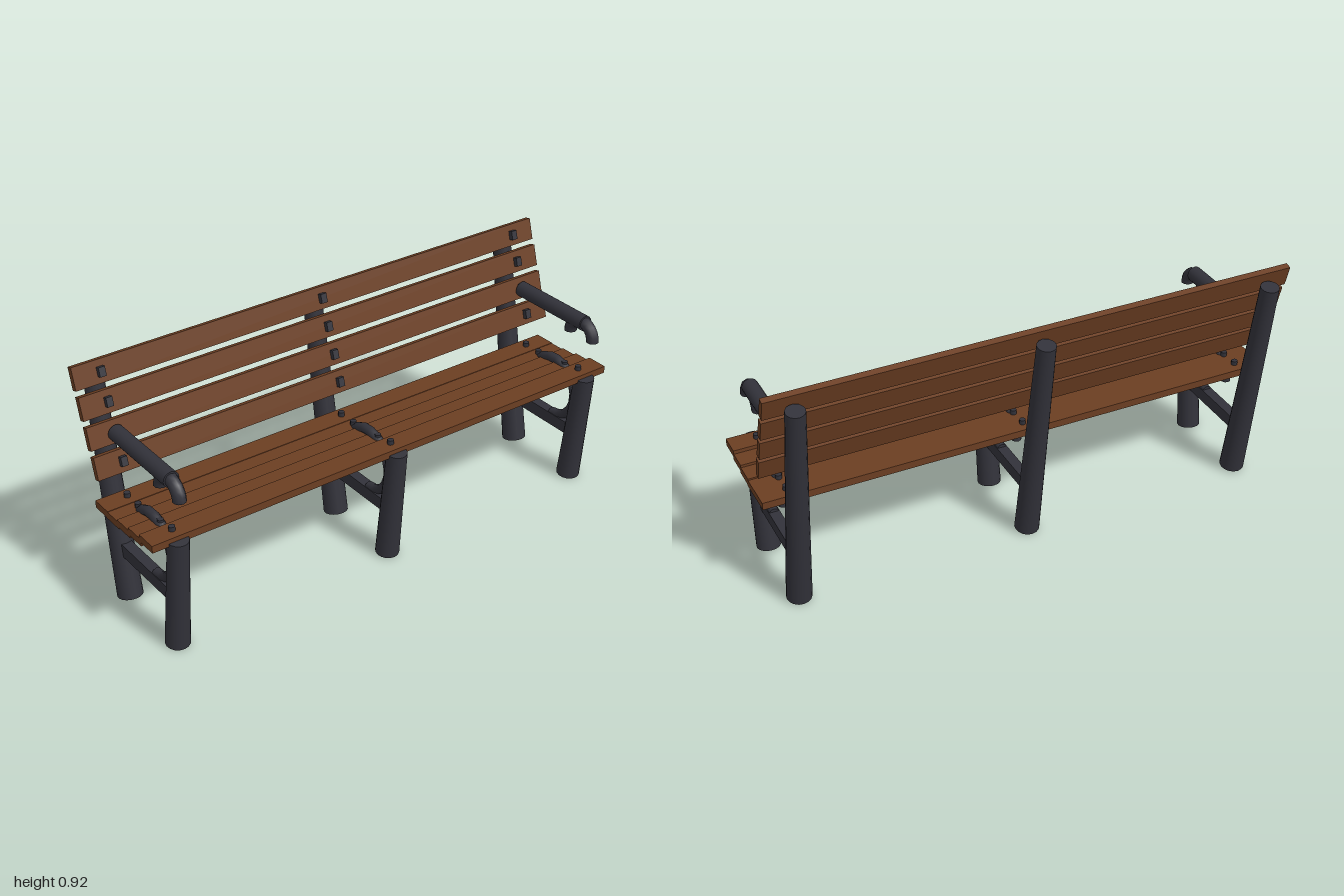
import * as THREE from 'three';

const wood = new THREE.MeshStandardMaterial({ color: 0x6b3e22 });
wood.name = 'brown wood';
const iron = new THREE.MeshStandardMaterial({ color: 0x32323a });
iron.name = 'dark iron';

function add(parent, name, geometry, material, x = 0, y = 0, z = 0) {
  const mesh = new THREE.Mesh(geometry, material);
  mesh.name = name;
  mesh.position.set(x, y, z);
  parent.add(mesh);
  return mesh;
}

// Tapered round bar between two [y, z] points
function bar(parent, name, [y0, z0], [y1, z1], r0, r1) {
  const dir = new THREE.Vector3(0, y1 - y0, z1 - z0);
  const mesh = add(parent, name, new THREE.CylinderGeometry(r1, r0, dir.length(), 16), iron,
    0, (y0 + y1) / 2, (z0 + z1) / 2);
  mesh.quaternion.setFromUnitVectors(new THREE.Vector3(0, 1, 0), dir.normalize());
}

// Curled bar with closed ends, sweeping from the rear over the top to the front
function curl(parent, name, y, z, radius, tube, arc, segments) {
  const group = new THREE.Group();
  group.name = name;
  group.position.set(0, y, z);
  group.rotation.y = Math.PI / 2;
  parent.add(group);
  add(group, name + 'Bar', new THREE.TorusGeometry(radius, tube, 10, segments, arc), iron);
  const start = add(group, name + 'StartCap', new THREE.CircleGeometry(tube, 10), iron, radius, 0, 0);
  start.rotation.x = Math.PI / 2;
  const end = add(group, name + 'EndCap', new THREE.CircleGeometry(tube, 10), iron,
    radius * Math.cos(arc), radius * Math.sin(arc), 0);
  end.rotation.set(-Math.PI / 2, 0, arc, 'ZXY');
}

export function createModel() {
  const bench = new THREE.Group();
  bench.name = 'bench';
  const frameX = [-0.9, 0, 0.9];

  // Iron frames; only the outer two carry armrests
  for (const x of frameX) {
    const frame = new THREE.Group();
    frame.name = 'frame';
    frame.position.x = x;
    bench.add(frame);
    bar(frame, 'frontLeg', [0.007, 0.2], [0.462, 0.25], 0.045, 0.038);
    bar(frame, 'backLeg', [0.012, -0.125], [0.878, -0.265], 0.047, 0.035);
    add(frame, 'crossRail', new THREE.BoxGeometry(0.04, 0.05, 0.33), iron, 0, 0.212, 0.035);
    curl(frame, 'scroll', 0.351, 0.084, 0.12, 0.019, Math.PI * 1.5, 14);
    if (x !== 0) {
      bar(frame, 'armrest', [0.685, 0.231], [0.685, -0.128], 0.03, 0.03);
      curl(frame, 'armrestCurl', 0.627, 0.216, 0.06, 0.024, Math.PI, 12);
    }
  }

  // Seat slats follow a shallow dip, with round bolts on top
  const seatHeights = [0.464, 0.45, 0.44, 0.434, 0.436];
  seatHeights.forEach((y, i) => {
    const z = 0.212 - i * 0.0743;
    add(bench, 'seatSlat', new THREE.BoxGeometry(2, 0.028, 0.084), wood, 0, y, z);
    for (const x of frameX)
      add(bench, 'seatBolt', new THREE.CylinderGeometry(0.012, 0.012, 0.026, 8), iron, x, y + 0.018, z);
  });

  // Leaning back slats with bolts on the front
  for (let i = 0; i < 4; i++) {
    const slat = new THREE.Group();
    slat.name = 'backSlat';
    slat.position.set(0, 0.585 + i * 0.0993, -0.11 - i * 0.035);
    slat.rotation.x = -0.28;
    bench.add(slat);
    add(slat, 'backBoard', new THREE.BoxGeometry(2, 0.083, 0.024), wood);
    for (const x of frameX)
      add(slat, 'backBolt', new THREE.BoxGeometry(0.024, 0.034, 0.024), iron, x, 0, 0.018);
  }
  return bench;
}
